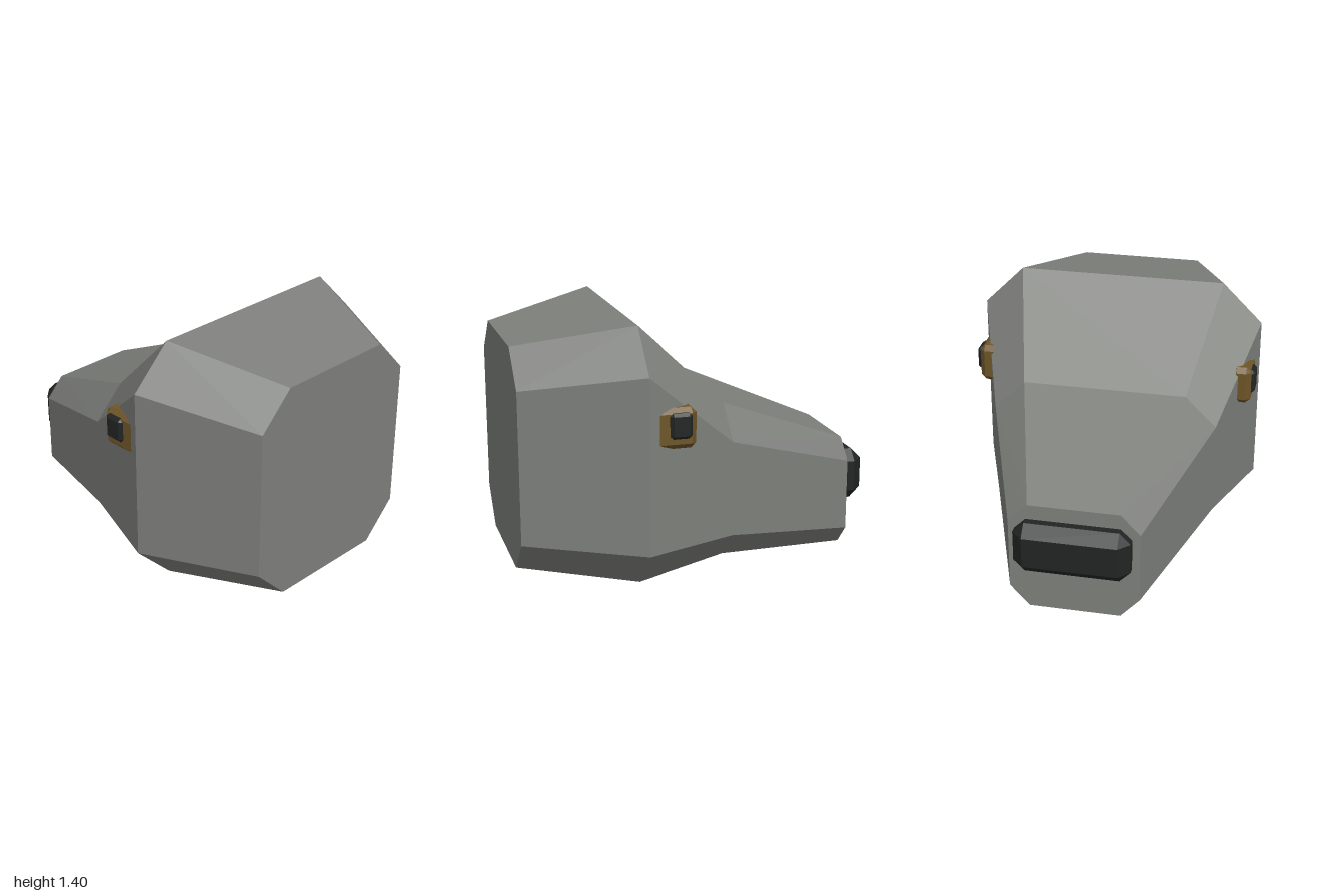
import * as THREE from 'three';
import { ConvexGeometry } from 'three/addons/geometries/ConvexGeometry.js';

const material = (color) => new THREE.MeshStandardMaterial({ color, flatShading: true });

function addMesh(parent, name, geometry, mat) {
  const mesh = new THREE.Mesh(geometry, mat);
  mesh.name = name;
  parent.add(mesh);
  return mesh;
}

// Box with every edge cut by a single chamfer c
function chamferBox(w, h, d, c) {
  const half = [w / 2, h / 2, d / 2];
  const points = [];
  for (const sx of [-1, 1]) for (const sy of [-1, 1]) for (const sz of [-1, 1]) {
    for (let axis = 0; axis < 3; axis++) {
      const p = half.map((v, i) => (i === axis ? v : v - c));
      points.push(new THREE.Vector3(p[0] * sx, p[1] * sy, p[2] * sz));
    }
  }
  return new ConvexGeometry(points);
}

// Chamfered rectangle section, counter-clockwise seen from +z
function section({ z, w, c, top, shoulder, jaw, bottom }) {
  return [
    [w, jaw], [w, shoulder], [c, top], [-c, top],
    [-w, shoulder], [-w, jaw], [-c, bottom], [c, bottom],
  ].map(([x, y]) => [x, y, z]);
}

// Skin over the sections with flat end caps
function loft(rings) {
  const positions = [];
  const tri = (a, b, c) => positions.push(...a, ...b, ...c);
  const n = rings[0].length;
  for (let r = 0; r < rings.length - 1; r++) {
    const A = rings[r], B = rings[r + 1];
    for (let i = 0; i < n; i++) {
      const j = (i + 1) % n;
      // Flip the diagonal on one half so the skin is symmetric
      if (i >= 3 && i <= 5) {
        tri(A[i], B[i], A[j]);
        tri(B[i], B[j], A[j]);
      } else {
        tri(A[i], B[i], B[j]);
        tri(A[i], B[j], A[j]);
      }
    }
  }
  const front = rings[0], back = rings[rings.length - 1];
  for (let i = 1; i < n - 1; i++) {
    tri(front[0], front[i], front[i + 1]);
    tri(back[0], back[i + 1], back[i]);
  }
  const geometry = new THREE.BufferGeometry();
  geometry.setAttribute('position', new THREE.Float32BufferAttribute(positions, 3));
  geometry.computeVertexNormals();
  return geometry;
}

export function createModel() {
  const model = new THREE.Group();
  model.name = 'animalHead';

  const fur = material(0x7e807c);
  const black = material(0x222424);
  const amber = material(0x6e5428);

  // Head: neck, cheeks, brow, muzzle tip
  addMesh(model, 'head', loft([
    { z: 1.0, w: 0.53, c: 0.34, top: 1.28, shoulder: 1.09, jaw: 0.27, bottom: 0.08 },
    { z: 0.385, w: 0.795, c: 0.575, top: 1.4, shoulder: 1.18, jaw: 0.24, bottom: 0.02 },
    { z: -0.115, w: 0.62, c: 0.45, top: 0.93, shoulder: 0.76, jaw: 0.245, bottom: 0.08 },
    { z: -0.88, w: 0.35, c: 0.245, top: 0.62, shoulder: 0.51, jaw: 0.115, bottom: 0.0 },
  ].map(section)), fur);

  // Nose
  addMesh(model, 'nose', chamferBox(0.62, 0.29, 0.16, 0.06), black).position.set(0, 0.405, -0.92);

  // Eyes, partly sunk into the cheeks
  for (const [side, s] of [['left', 1], ['right', -1]]) {
    const eye = new THREE.Group();
    eye.name = side + 'Eye';
    addMesh(eye, side + 'Iris', chamferBox(0.11, 0.215, 0.24, 0.028), amber).position.set(s * 0.72, 0.9, 0.245);
    addMesh(eye, side + 'Pupil', chamferBox(0.07, 0.135, 0.115, 0.016), black).position.set(s * 0.76, 0.917, 0.212);
    model.add(eye);
  }
  return model;
}
